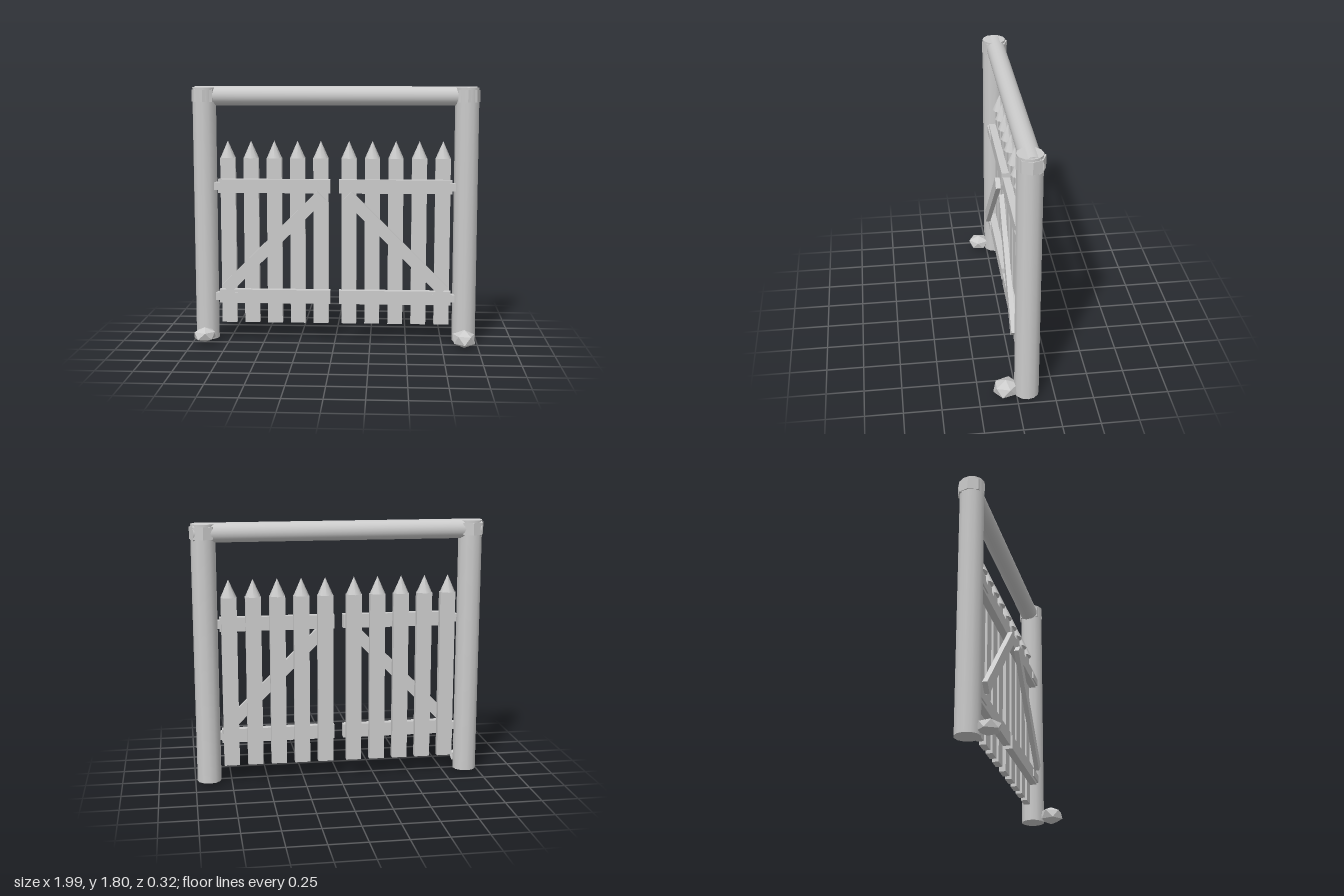
import * as THREE from 'three';

const smooth = new THREE.MeshStandardMaterial({ color: 0xcccccc });
const flat = new THREE.MeshStandardMaterial({ color: 0xcccccc, flatShading: true });

export function createModel() {
  const root = new THREE.Group();
  root.name = 'gate';

  const add = (parent, name, geometry, x, y, z, material = flat) => {
    const mesh = new THREE.Mesh(geometry, material);
    mesh.name = name;
    mesh.position.set(x, y, z);
    parent.add(mesh);
    return mesh;
  };

  // Shared shapes
  const postGeo = new THREE.CylinderGeometry(0.082, 0.082, 1.768, 12);
  const bandGeo = new THREE.CylinderGeometry(0.09, 0.09, 0.082, 8);
  const boardGeo = new THREE.BoxGeometry(0.105, 1.17, 0.045);
  const tipGeo = new THREE.ConeGeometry(0.053, 0.12, 8);
  const railGeo = new THREE.BoxGeometry(0.78, 0.095, 0.05);
  const strapGeo = new THREE.BoxGeometry(0.155, 0.053, 0.052);
  const braceGeo = new THREE.BoxGeometry(0.94, 0.081, 0.033);

  // Uneven stone: an icosahedron with a corner up, squashed and pushed about by position
  const stoneGeo = (seed, rx, ry, rz) => {
    const geo = new THREE.IcosahedronGeometry(1, 0).rotateZ(-0.5536).rotateY(seed);
    const p = geo.attributes.position;
    for (let i = 0; i < p.count; i++) {
      const [x, y, z] = [p.getX(i), p.getY(i), p.getZ(i)];
      const k = 1 + 0.09 * Math.sin(5 * x + 3 * y + 7 * z + seed * 4);
      p.setXYZ(i, x * k * rx, y * ry, z * k * rz);
    }
    geo.computeVertexNormals();
    return geo;
  };

  // Cross beam running through both posts
  const beam = add(root, 'crossBeam', new THREE.CylinderGeometry(0.066, 0.066, 1.94, 20), 0, 1.73, -0.075, smooth);
  beam.rotation.z = Math.PI / 2;

  for (const s of [-1, 1]) {
    const side = s > 0 ? 'left' : 'right';

    // Post with its band and the stone at its foot
    add(root, side + 'Post', postGeo, s * 0.905, 0.904, -0.066, smooth);
    add(root, side + 'PostBand', bandGeo, s * 0.905, 1.731, -0.071);
    if (s > 0) add(root, 'leftStone', stoneGeo(0.3, 0.088, 0.064, 0.094), 0.903, 0.064, 0.072);
    else add(root, 'rightStone', stoneGeo(1.1, 0.092, 0.053, 0.083), -0.906, 0.068, 0.063);

    // Gate leaf
    const leaf = new THREE.Group();
    leaf.name = side + 'Leaf';
    root.add(leaf);

    // Pointed pickets
    for (let i = 0; i < 5; i++) {
      const x = s * (0.098 + i * 0.1625);
      add(leaf, 'picket', boardGeo, x, 0.715, -0.088);
      add(leaf, 'picketTip', tipGeo, x, 1.36, -0.09, smooth);
    }

    // Rails with hinge straps
    for (const y of [0.328, 1.108]) {
      add(leaf, 'rail', railGeo, s * 0.42, y, -0.041);
      add(leaf, 'hingeStrap', strapGeo, s * 0.758, y, -0.033);
    }

    // Diagonal brace falling towards the post
    const brace = add(leaf, 'brace', braceGeo, s * 0.424, 0.718, 0.0035);
    brace.rotation.z = -s * 0.782;
  }
  return root;
}
